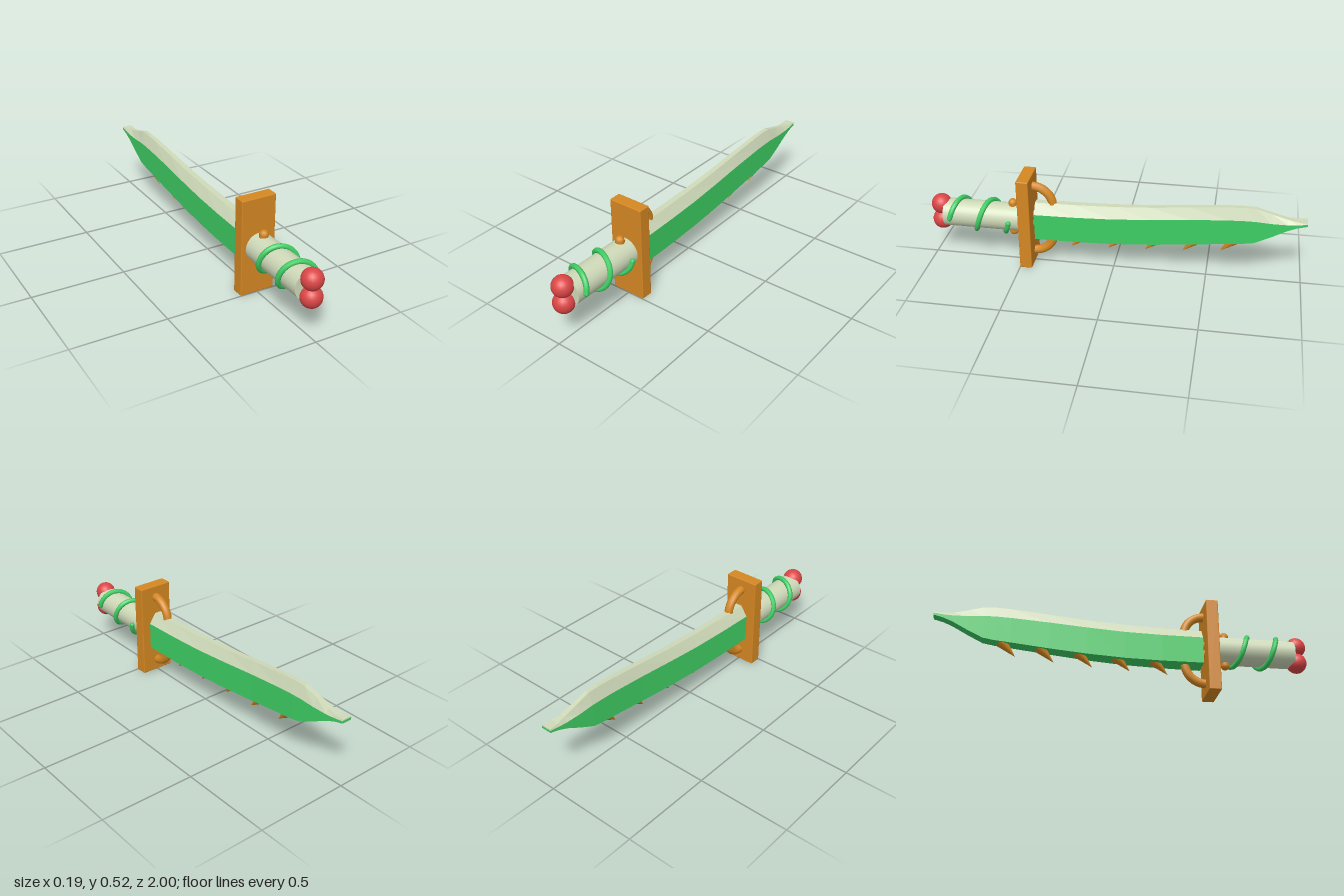
import * as THREE from 'three';
import { RoundedBoxGeometry } from 'three/addons/geometries/RoundedBoxGeometry.js';

const material = (name, color) => {
  const m = new THREE.MeshStandardMaterial({ color });
  m.name = name;
  return m;
};

// Skin a row of counter-clockwise [x, y, z] rings (front to back) with flat faces and end caps
function loft(rings) {
  const pos = [];
  const tri = (...pts) => pts.forEach((p) => pos.push(...p));
  const n = rings[0].length;
  for (let i = 0; i < rings.length - 1; i++) {
    const a = rings[i], b = rings[i + 1];
    for (let p = 0; p < n; p++) {
      const q = (p + 1) % n;
      tri(a[p], b[p], a[q]);
      tri(b[p], b[q], a[q]);
    }
  }
  const first = rings[0], last = rings[rings.length - 1];
  for (let p = 1; p < n - 1; p++) {
    tri(first[0], first[p], first[p + 1]);
    tri(last[0], last[p + 1], last[p]);
  }
  const geo = new THREE.BufferGeometry();
  geo.setAttribute('position', new THREE.Float32BufferAttribute(pos, 3));
  geo.computeVertexNormals();
  return geo;
}

export function createModel() {
  const model = new THREE.Group();
  model.name = 'sword';
  const orange = material('orange', 0xd48722);
  const green = material('green', 0x3ecd63);
  const pale = material('pale sage', 0xced9b8);
  const red = material('red', 0xdc4646);
  const MID = 0.26;

  const add = (name, geo, mat, x = 0, y = 0, z = 0) => {
    const mesh = new THREE.Mesh(geo, mat);
    mesh.name = name;
    mesh.position.set(x, y, z);
    model.add(mesh);
    return mesh;
  };

  // Guard plate
  add('guard', new RoundedBoxGeometry(0.19, 0.52, 0.066, 2, 0.005), orange, 0, MID, 0.467);

  // Grip
  add('grip', new THREE.CylinderGeometry(0.075, 0.075, 0.415, 32).rotateX(Math.PI / 2), pale, 0, MID, 0.713);

  // Vine winding twice round the grip
  const vinePoints = [];
  for (let i = 0; i <= 32; i++) {
    const a = (i / 32) * Math.PI * 4;
    vinePoints.push(new THREE.Vector3(0.083 * Math.cos(a), MID + 0.083 * Math.sin(a), 0.88 - 0.325 * (i / 32)));
  }
  const vine = new THREE.CatmullRomCurve3(vinePoints);
  add('vine', new THREE.TubeGeometry(vine, 80, 0.014, 8), green);
  for (const t of [0, 1]) {
    const p = vine.getPoint(t);
    add('vineEnd', new THREE.SphereGeometry(0.0138, 8, 6), green, p.x, p.y, p.z);
  }

  // Pommel berries
  for (const side of [-1, 1]) {
    add('pommelBerry', new THREE.SphereGeometry(0.055, 20, 14), red, 0, MID + side * 0.046, 0.945);
  }

  // Curled hooks through the guard, three quarters of a ring each
  for (const side of [-1, 1]) {
    const hook = new THREE.TorusGeometry(0.11, 0.024, 10, 32, Math.PI * 1.5);
    if (side > 0) hook.rotateZ(Math.PI / 2);
    hook.rotateY(-Math.PI / 2);
    const y = MID + side * 0.085;
    add('hook', hook, orange, 0, y, 0.437);
    add('hookTip', new THREE.SphereGeometry(0.024, 10, 8), orange, 0, y, 0.547);
  }

  // Blade stations: z, bottom, shoulder, top, half width, half width of spine
  const stations = [
    [0.42, 0.163, 0.31, 0.366, 0.055, 0.018],
    [0.2, 0.163, 0.312, 0.369, 0.051, 0.017],
    [0, 0.168, 0.318, 0.376, 0.047, 0.016],
    [-0.2, 0.181, 0.332, 0.389, 0.043, 0.015],
    [-0.4, 0.2, 0.349, 0.408, 0.039, 0.014],
    [-0.6, 0.222, 0.363, 0.426, 0.036, 0.013],
    [-0.68, 0.23, 0.366, 0.43, 0.035, 0.012],
    [-0.74, 0.24, 0.366, 0.428, 0.034, 0.012],
    [-0.82, 0.28, 0.36, 0.405, 0.032, 0.012],
    [-0.9, 0.324, 0.359, 0.383, 0.03, 0.014],
    [-0.95, 0.345, 0.363, 0.376, 0.029, 0.022],
    [-1, 0.358, 0.37, 0.376, 0.028, 0.026],
  ];
  add('bladeSides', loft(stations.map(([z, b, s, , w]) =>
    [[-w, b, z], [w, b, z], [w, s, z], [-w, s, z]])), green);
  add('bladeSpine', loft(stations.map(([z, , s, t, w, c]) =>
    [[-w, s, z], [w, s, z], [c, t, z], [-c, t, z]])), pale);

  // Thorns under the blade, swept towards the grip
  const thornDir = new THREE.Vector3(0, -0.73, 0.68).normalize();
  const thornTips = [[0.233, 0.104], [0.032, 0.112], [-0.168, 0.123], [-0.368, 0.137], [-0.568, 0.157]];
  for (const [z, y] of thornTips) {
    const thorn = add('thorn', new THREE.ConeGeometry(0.032, 0.11, 14), orange, 0, y, z);
    thorn.position.addScaledVector(thornDir, -0.055);
    thorn.quaternion.setFromUnitVectors(new THREE.Vector3(0, 1, 0), thornDir);
  }

  return model;
}
